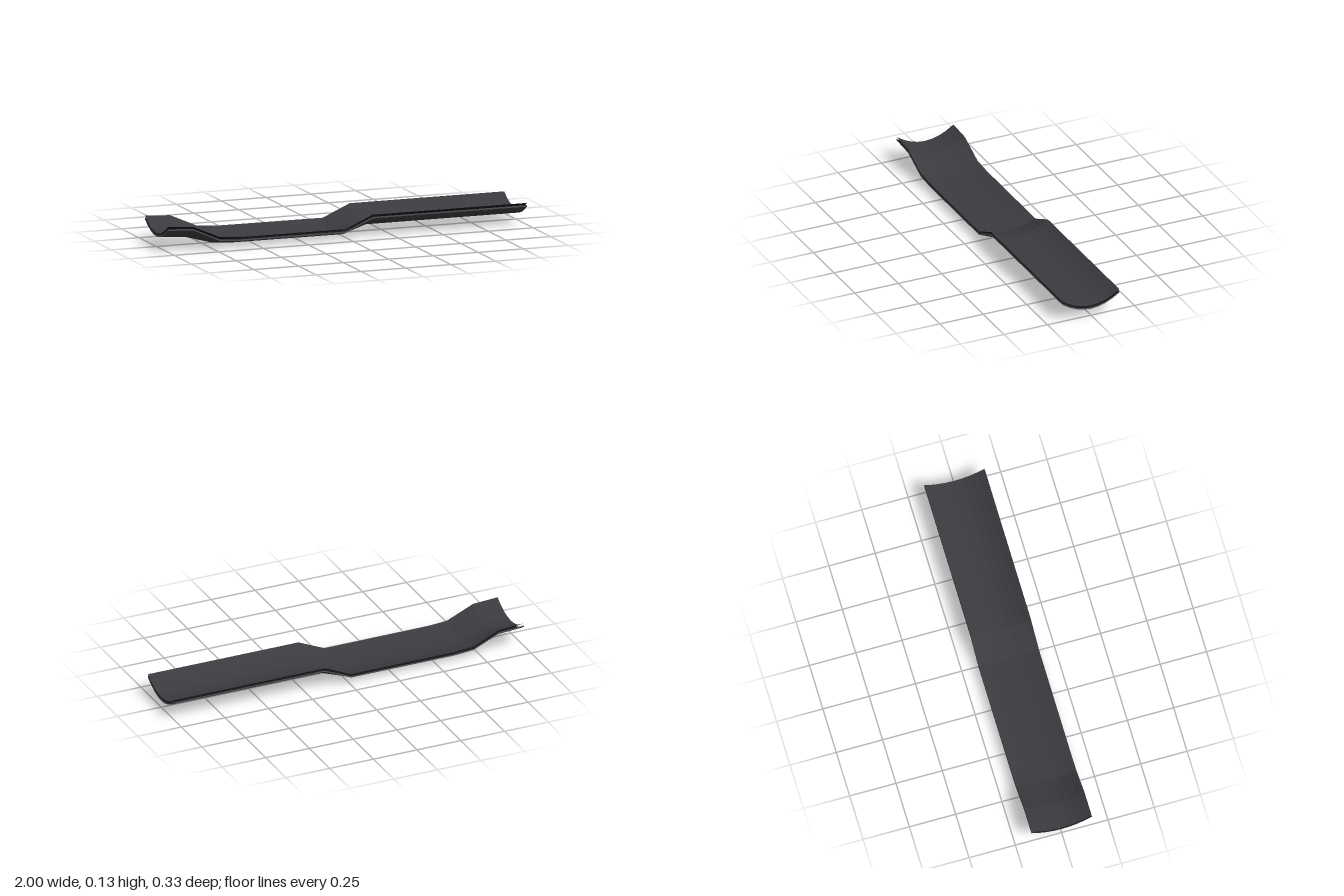
import * as THREE from 'three';

// Stations along the length: x, height of the underside at the centre line, rise of the curled edges
const STATIONS = [
  [-1, 0.053, 0.06], [-0.86, 0.045, 0.06], [-0.71, 0.006, 0.033], [-0.6, 0.001, 0.03],
  [-0.01, 0, 0.03], [0.14, 0.038, 0.058], [1, 0.038, 0.058],
];
const HALF_WIDTH = 0.163;
const SEGMENTS = 8;

// One row of points per station, lifted above the underside
function surfaceRows(lift) {
  return STATIONS.map(([x, base, rise]) => {
    const row = [];
    for (let j = 0; j <= SEGMENTS; j++) {
      const t = (j / SEGMENTS) * 2 - 1;
      row.push([x, base + lift + rise * t * t, t * HALF_WIDTH]);
    }
    return row;
  });
}

// Outline of a sheet, running around its four sides
function outline(rows) {
  const last = rows.length - 1;
  return [
    ...rows.map((r) => r[SEGMENTS]),
    ...rows[last].slice(0, SEGMENTS).reverse(),
    ...rows.slice(0, last).reverse().map((r) => r[0]),
    ...rows[0].slice(1),
  ];
}

// Faceted surface through rows of points
function skin(rows, flip = false) {
  const pos = [];
  for (let i = 0; i < rows.length - 1; i++) {
    for (let j = 0; j < rows[i].length - 1; j++) {
      const a = rows[i][j], b = rows[i][j + 1], c = rows[i + 1][j], d = rows[i + 1][j + 1];
      const corners = flip ? [a, c, b, b, c, d] : [a, b, c, b, d, c];
      corners.forEach((p) => pos.push(...p));
    }
  }
  const geo = new THREE.BufferGeometry();
  geo.setAttribute('position', new THREE.Float32BufferAttribute(pos, 3));
  geo.computeVertexNormals();
  return geo;
}

export function createModel() {
  const material = (name, color) => {
    const m = new THREE.MeshStandardMaterial({ color });
    m.name = name;
    return m;
  };
  const charcoal = material('charcoal', 0x3a3a3f);
  const darkGrey = material('dark grey', 0x34373a);
  const rimGrey = material('rim grey', 0x4c5053);
  const black = material('black', 0x161618);

  const group = new THREE.Group();
  group.name = 'curvedChannel';
  const add = (name, geo, mat) => {
    const mesh = new THREE.Mesh(geo, mat);
    mesh.name = name;
    group.add(mesh);
  };

  const bottom = surfaceRows(0);
  const inner = surfaceRows(0.008);

  // Lower shell with a thin rim all round
  add('lowerShellOutside', skin(bottom, true), darkGrey);
  add('lowerShellInside', skin(inner), black);
  add('lowerShellRim', skin([outline(bottom), outline(inner)]), rimGrey);

  // Thin upper sheet, separated from the shell by an open gap
  add('upperSheetTop', skin(surfaceRows(0.02)), charcoal);
  add('upperSheetUnderside', skin(surfaceRows(0.0195), true), black);

  return group;
}
